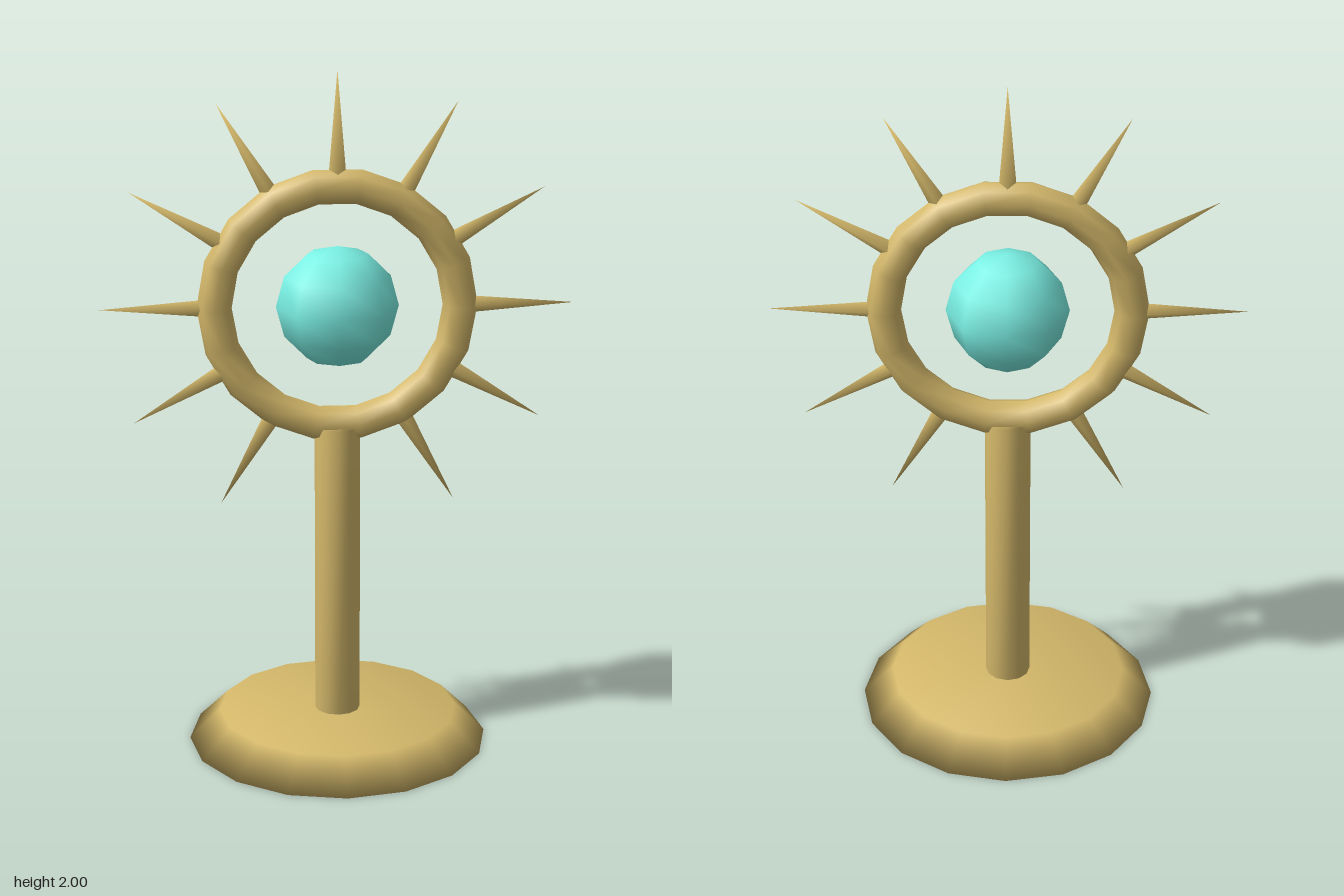
import * as THREE from 'three';
import { mergeVertices } from 'three/addons/utils/BufferGeometryUtils.js';

const RING_Y = 1.324;

// Weld all corners so shading runs smoothly across every edge.
function smooth(geometry) {
  geometry.deleteAttribute('uv');
  geometry.deleteAttribute('normal');
  const welded = mergeVertices(geometry, 1e-4);
  welded.computeVertexNormals();
  return welded;
}

export function createModel() {
  const group = new THREE.Group();
  const gold = new THREE.MeshStandardMaterial({ color: 0xd4b86a });
  const teal = new THREE.MeshStandardMaterial({ color: 0x7af0e4 });

  const add = (name, geometry, material, y, parent = group) => {
    const mesh = new THREE.Mesh(geometry, material);
    mesh.name = name;
    mesh.position.y = y;
    parent.add(mesh);
    return mesh;
  };

  // Bevelled foot and its post
  add('base', smooth(new THREE.CylinderGeometry(0.35, 0.44, 0.09, 16)), gold, 0.045);
  add('post', smooth(new THREE.CylinderGeometry(0.066, 0.066, 0.9, 12)), gold, 0.52);

  // Upright ring with a floating orb in its centre
  add('ring', new THREE.TorusGeometry(0.35, 0.05, 8, 18), gold, RING_Y);
  add('orb', new THREE.SphereGeometry(0.175, 8, 6), teal, RING_Y);

  // Rays every 30 degrees, leaving out the one where the post joins
  const rays = new THREE.Group();
  rays.name = 'rays';
  rays.position.y = RING_Y;
  group.add(rays);
  const rayGeometry = smooth(new THREE.ConeGeometry(0.025, 0.3, 4));
  rayGeometry.translate(0, 0.525, 0);
  for (let i = 0; i < 12; i++) {
    if (i === 6) continue;
    add('ray', rayGeometry, gold, 0, rays).rotation.z = (i * Math.PI) / 6;
  }

  return group;
}
